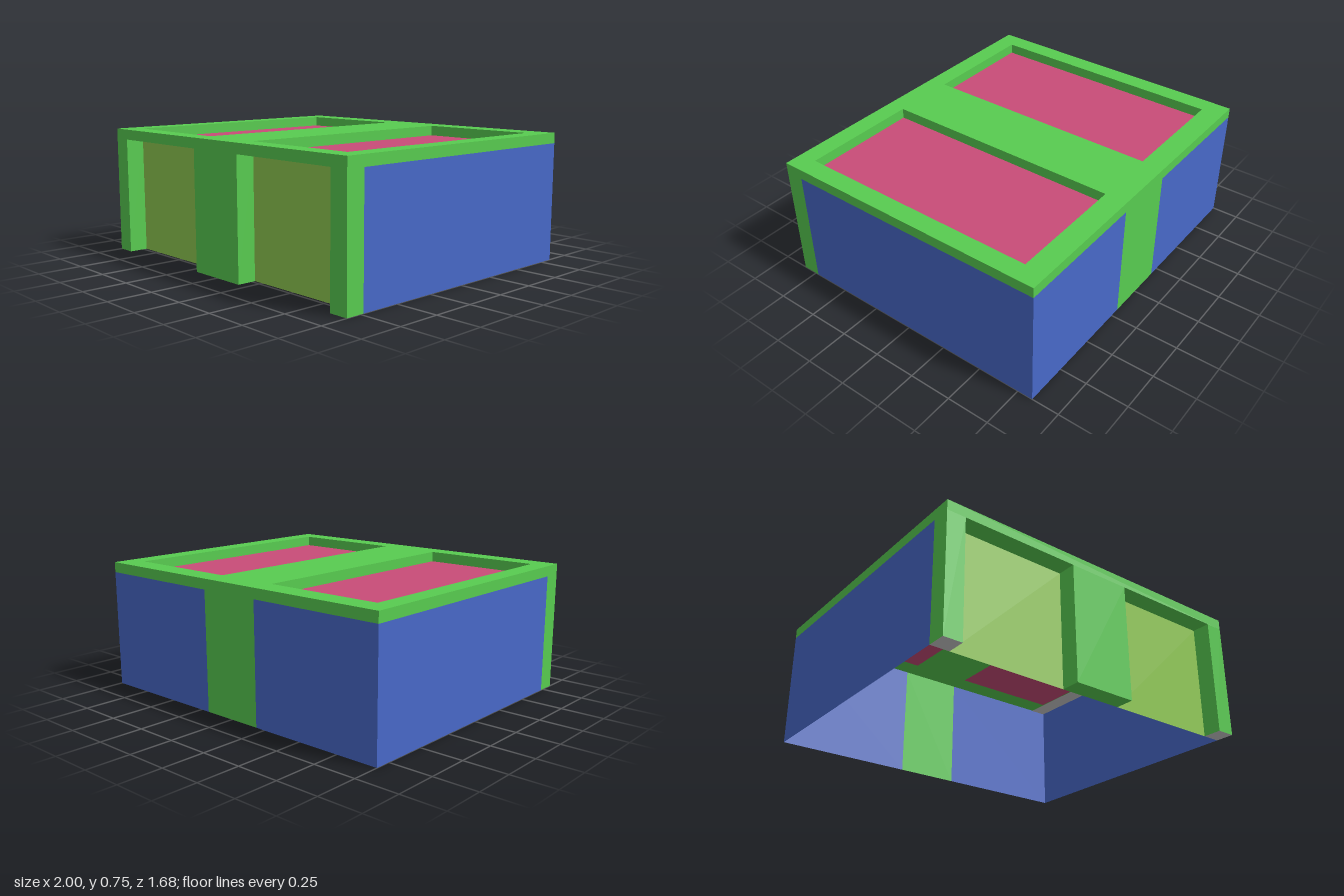
import * as THREE from 'three';

const paint = (color) => new THREE.MeshStandardMaterial({ color, side: THREE.DoubleSide });

export function createModel() {
  const model = new THREE.Group();
  const green = paint(0x58cc50), blue = paint(0x4869c9), olive = paint(0x8fca50);
  const pink = paint(0xc94c78), grey = paint(0xcccccc);
  const W = 1, D = 0.84, H = 0.75, ceiling = 0.69;
  const inner = 0.89, mid = 0.19, doorZ = 0.73, panelBack = -0.71;

  // Thin sheets facing along one axis
  function sheet(name, mat, w, h, x, y, z, rx = 0, ry = 0) {
    const mesh = new THREE.Mesh(new THREE.PlaneGeometry(w, h), mat);
    mesh.name = name;
    mesh.position.set(x, y, z);
    mesh.rotation.set(rx, ry, 0);
    model.add(mesh);
  }
  const facingZ = (name, mat, x0, x1, z, front = true) =>
    sheet(name, mat, x1 - x0, ceiling, (x0 + x1) / 2, ceiling / 2, z, 0, front ? 0 : Math.PI);
  const facingX = (name, mat, z0, z1, x, dir) =>
    sheet(name, mat, z1 - z0, ceiling, x, ceiling / 2, (z0 + z1) / 2, 0, dir * Math.PI / 2);
  const facingY = (name, mat, x0, x1, z0, z1, y, dir) =>
    sheet(name, mat, x1 - x0, z1 - z0, (x0 + x1) / 2, y, (z0 + z1) / 2, -dir * Math.PI / 2);

  // Roof slab with two rectangular openings
  const outline = (P, x0, x1, y0, y1) => {
    const p = new P();
    p.moveTo(x0, y0).lineTo(x1, y0).lineTo(x1, y1).lineTo(x0, y1).closePath();
    return p;
  };
  const roofShape = outline(THREE.Shape, -W, W, -D, D);
  for (const [x0, x1] of [[-inner, -mid], [mid, inner]]) {
    roofShape.holes.push(outline(THREE.Path, x0, x1, -doorZ, -panelBack));
  }
  const roofGeo = new THREE.ExtrudeGeometry(roofShape, { depth: H - ceiling, bevelEnabled: false });
  roofGeo.rotateX(-Math.PI / 2).translate(0, ceiling, 0);
  const roof = new THREE.Mesh(roofGeo, green);
  roof.name = 'roofFrame';
  model.add(roof);

  // Everything that repeats on both sides
  for (const s of [-1, 1]) {
    const side = s > 0 ? 'left' : 'right';
    const span = (a, b) => (s > 0 ? [a, b] : [-b, -a]);
    const bay = span(mid, inner), post = span(inner, W), backWall = span(mid, W);

    facingY(side + 'RoofPanel', pink, ...bay, panelBack, doorZ, ceiling, 1);
    facingY(side + 'CeilingStrip', grey, ...post, -D, D, ceiling - 0.003, -1);
    facingZ(side + 'Door', olive, ...bay, doorZ);
    facingX(side + 'SideWall', blue, -D, doorZ, s * W, s);
    facingZ(side + 'BackWall', blue, ...backWall, -D, false);

    // Corner post, open at the back
    facingZ(side + 'PostFront', green, ...post, D);
    facingX(side + 'PostOuterFace', green, doorZ, D, s * W, s);
    facingX(side + 'PostInnerFace', green, doorZ, D, s * inner, -s);
    facingY(side + 'PostFoot', grey, ...post, doorZ, D, 0, -1);

    facingX(side + 'CentrePostFace', green, doorZ, D, s * mid, s);
  }

  // Centre post and back pilaster
  facingZ('centrePostFront', green, -mid, mid, D);
  facingY('centrePostFoot', green, -mid, mid, doorZ, D, 0, -1);
  facingZ('centrePostStrip', grey, -0.04, 0.04, 0.79, false);
  facingZ('backPilaster', green, -mid, mid, -D, false);

  return model;
}
